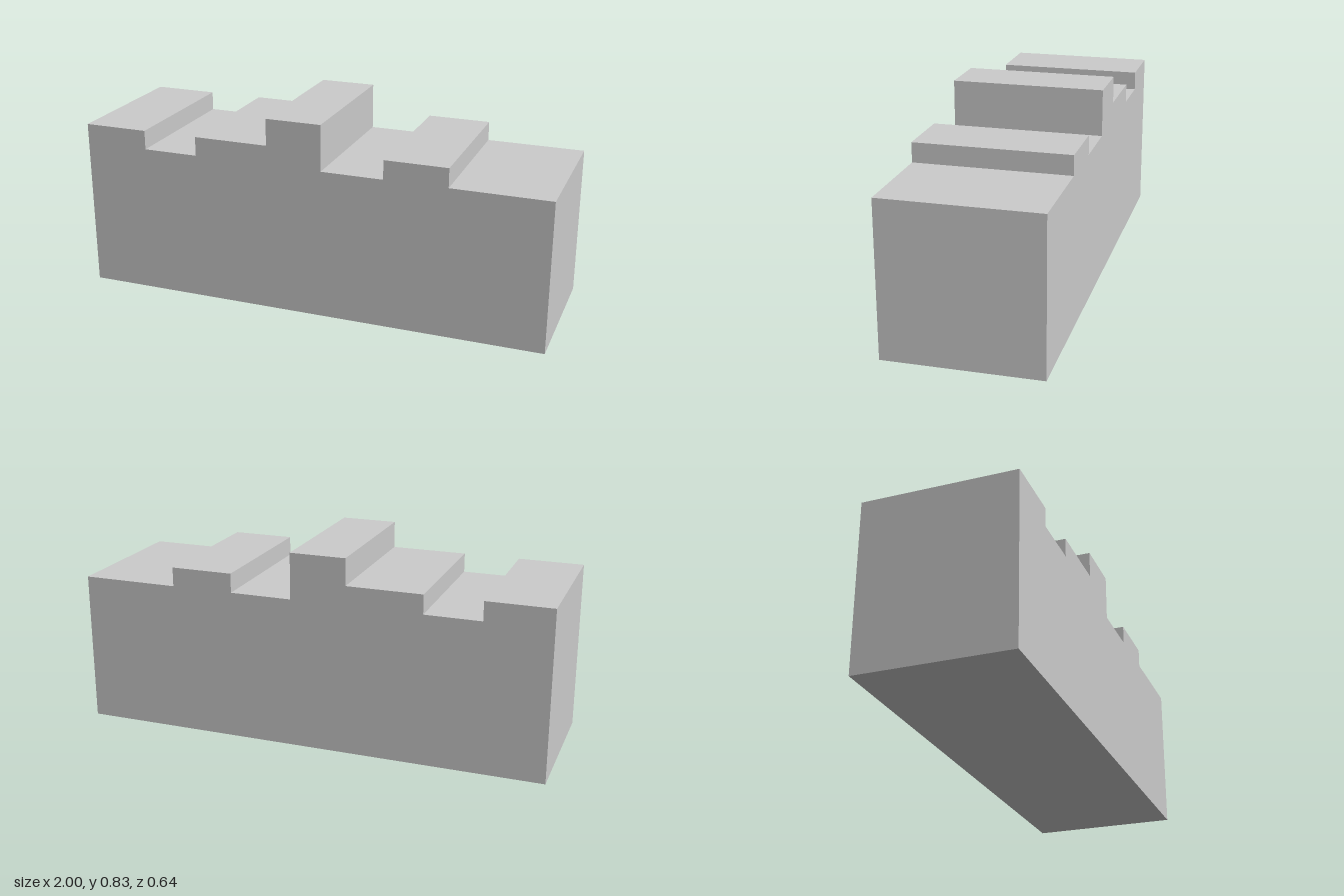
import * as THREE from 'three';

const LOW = 0.636, MID = 0.717, HIGH = 0.83, DEPTH = 0.636;

// Each step of the top: [right-hand end in x, height]
const STEPS = [
  [-0.726, MID], [-0.49, LOW], [-0.171, MID], [0.064, HIGH],
  [0.326, LOW], [0.59, MID], [1, LOW],
];

export function createModel() {
  const group = new THREE.Group();
  group.name = 'steppedBlock';

  // Front outline: flat base, then the stepped top from left to right
  const outline = new THREE.Shape();
  outline.moveTo(1, 0);
  outline.lineTo(-1, 0);
  let x = -1;
  for (const [end, height] of STEPS) {
    outline.lineTo(x, height);
    outline.lineTo(end, height);
    x = end;
  }
  outline.closePath();

  // One solid, extruded through the depth and centred on z
  const geometry = new THREE.ExtrudeGeometry(outline, { depth: DEPTH, bevelEnabled: false });
  geometry.translate(0, 0, -DEPTH / 2);
  const block = new THREE.Mesh(
    geometry,
    new THREE.MeshStandardMaterial({ color: 0xcccccc, flatShading: true }),
  );
  block.name = 'block';
  group.add(block);
  return group;
}
